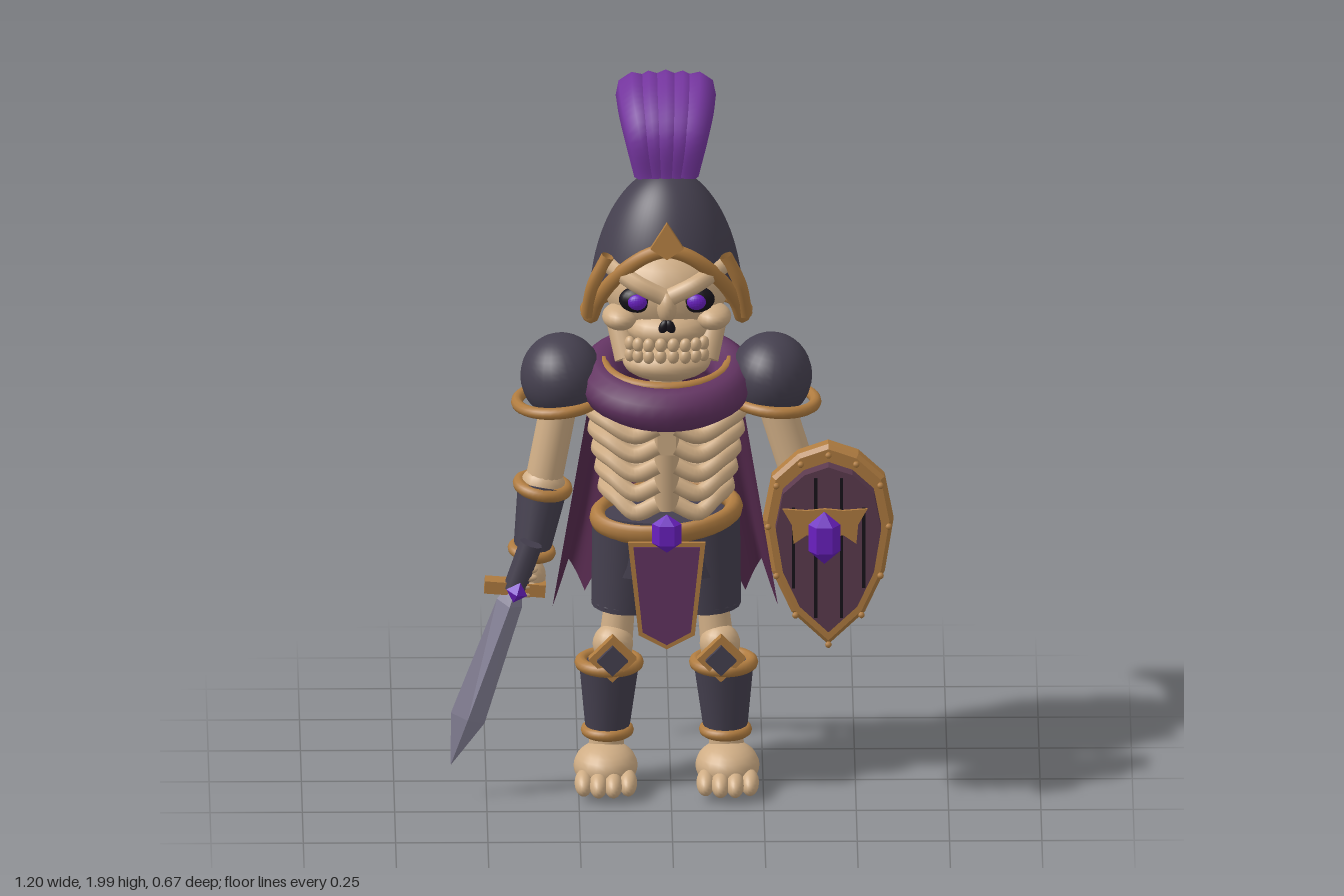
import * as THREE from 'three';

const V = (x, y, z) => new THREE.Vector3(x, y, z);
const mat = (name, hex, double) => {
  const m = new THREE.MeshStandardMaterial({ color: hex });
  m.name = name;
  if (double) m.side = THREE.DoubleSide;
  return m;
};
const lerp = THREE.MathUtils.lerp;

export function createModel() {
  const bone = mat('bone', 0xcfad85), gold = mat('bronze', 0xb07c40, true), dark = mat('dark iron', 0x45404f, true);
  const cloth = mat('scarf plum', 0x633462), capeMat = mat('cape wine', 0x582b50, true), plumeMat = mat('plume violet', 0x7636a0);
  const gem = mat('gem violet', 0x6a20c0), steel = mat('steel', 0x878398, true), black = mat('black', 0x17131a), wood = mat('painted wood', 0x5c3b4e);
  gem.flatShading = steel.flatShading = true;

  const root = new THREE.Group();
  root.name = 'skeletonKnight';
  const body = new THREE.Group();
  body.name = 'body';
  body.position.x = -0.012;
  root.add(body);

  const add = (name, geo, m, p = [0, 0, 0], r = [0, 0, 0], s = [1, 1, 1], parent = body) => {
    const o = new THREE.Mesh(geo, m);
    o.name = name;
    o.position.set(...p); o.rotation.set(...r); o.scale.set(...s);
    parent.add(o);
    return o;
  };
  const ball = (name, m, p, s, r) => add(name, new THREE.SphereGeometry(1, 20, 14), m, p, r, s);
  const box = (name, m, p, s, r, parent) => add(name, new THREE.BoxGeometry(...s), m, p, r, undefined, parent);
  const tube = (name, m, pts, r, closed = false, taper = null) => {
    const curve = new THREE.CatmullRomCurve3(pts.map(p => V(...p)), closed), n = pts.length * 6;
    const g = new THREE.TubeGeometry(curve, n, r, 8, closed), pos = g.attributes.position;
    if (taper) {
      for (let i = 0; i < pos.count; i++) {
        const t = Math.floor(i / 9) / n, c = curve.getPointAt(t);
        const v = V(0, 0, 0).fromBufferAttribute(pos, i).sub(c).multiplyScalar(taper(t)).add(c);
        pos.setXYZ(i, v.x, v.y, v.z);
      }
    }
    return add(name, g, m);
  };
  // tapered cylinder from a (radius ra) to b (radius rb)
  const limb = (name, m, a, b, ra, rb) => {
    const A = V(...a), B = V(...b), d = A.clone().sub(B);
    const o = add(name, new THREE.CylinderGeometry(ra, rb, d.length(), 16), m, A.clone().add(B).multiplyScalar(0.5).toArray());
    o.quaternion.setFromUnitVectors(V(0, 1, 0), d.normalize());
    return o;
  };
  const ring = (name, m, p, r, t, s = [1, 1, 1], tilt = 0, roll = 0) =>
    add(name, new THREE.TorusGeometry(r, t, 10, 36).rotateX(Math.PI / 2), m, p, [tilt, 0, roll], s);
  // surface swept over a u,v grid
  const grid = (nu, nv, f) => {
    const p = [], idx = [], w = nu + 1;
    for (let j = 0; j <= nv; j++) for (let i = 0; i <= nu; i++) p.push(...f(i / nu, j / nv));
    for (let j = 0; j < nv; j++) for (let i = 0; i < nu; i++) {
      const a = j * w + i;
      idx.push(a, a + w, a + 1, a + 1, a + w, a + w + 1);
    }
    const g = new THREE.BufferGeometry();
    g.setAttribute('position', new THREE.Float32BufferAttribute(p, 3));
    g.setIndex(idx);
    g.computeVertexNormals();
    return g;
  };
  const plate = (pts, depth) => new THREE.ExtrudeGeometry(
    new THREE.Shape(pts.map(p => new THREE.Vector2(...p))), { depth, bevelEnabled: false });

  // Helmet: dome with an arched face opening and a trimmed edge
  const edgeY = th => {
    const a = Math.abs(th) / 1.25;
    return a < 1 ? 1.585 - 0.225 * Math.pow(a, 1.9) : lerp(1.36, 1.335, (a - 1) / 1.51);
  };
  const dome = (th, y, grow = 0) => {
    const t = Math.min(1, (1.76 - y) / 0.42);
    const r = 0.21 * Math.pow(1 - Math.pow(1 - t, 2.2), 0.55) + grow;
    return [r * Math.sin(th), y, r * Math.cos(th)];
  };
  add('helmetDome', grid(64, 24, (u, v) => {
    const th = (u * 2 - 1) * Math.PI;
    return dome(th, 1.76 - (1.76 - edgeY(th)) * Math.pow(v, 1.7));
  }), dark);
  const rim = [];
  for (let i = 0; i < 40; i++) {
    const th = (i / 20 - 1) * Math.PI;
    rim.push(dome(th, edgeY(th), 0.004));
  }
  tube('helmetTrim', gold, rim, 0.02, true);
  add('helmetCrest', plate([[-0.045, 0], [0, 0.07], [0.045, 0], [0, -0.03]], 0.03), gold, [0, 1.595, 0.175], [-0.15, 0, 0]);
  box('plumeSocket', gold, [0, 1.76, -0.045], [0.07, 0.06, 0.06]);
  for (const s of [-1, 1])
    tube('helmetWing', gold, [[s * 0.16, 1.555, 0.13], [s * 0.198, 1.47, 0.12], [s * 0.215, 1.37, 0.085]], 0.018);

  // Plume: side-by-side arched strands, closed at the tips
  for (let i = 0; i < 5; i++) {
    const k = (i - 2) / 2, x = k * 0.08;
    tube('plumeStrand', plumeMat, [[x * 0.6, 1.755, 0.035], [x * 0.85, 1.86, 0.032], [x, 1.915, -0.025],
      [x * 1.03, 1.938, -0.11], [x, 1.88, -0.225], [x * 0.9, 1.72, -0.328]], 0.06 - 0.005 * Math.abs(k), false,
    t => Math.sqrt(1 - t ** 9) * (t < 0.5 ? 0.72 + 0.56 * t : 1 - 1.1 * (t - 0.5)));
  }

  // Skull
  ball('skull', bone, [0, 1.43, 0.025], [0.168, 0.135, 0.155]);
  ball('upperJaw', bone, [0, 1.345, 0.11], [0.11, 0.055, 0.095]);
  ball('chin', bone, [0, 1.25, 0.115], [0.12, 0.052, 0.095]);
  ball('noseBridge', bone, [0, 1.42, 0.165], [0.028, 0.045, 0.033]);
  for (const s of [-1, 1]) {
    ball('cheekbone', bone, [s * 0.125, 1.375, 0.11], [0.05, 0.035, 0.065]);
    limb('jawSide', bone, [s * 0.135, 1.36, 0.05], [s * 0.105, 1.25, 0.1], 0.032, 0.036);
    ball('eyeSocket', black, [s * 0.078, 1.435, 0.145], [0.052, 0.037, 0.032]);
    ball('eye', gem, [s * 0.08, 1.437, 0.175], [0.026, 0.022, 0.016]);
    tube('brow', bone, [[s * 0.01, 1.455, 0.183], [s * 0.075, 1.487, 0.178], [s * 0.15, 1.52, 0.115]], 0.025);
    ball('nostril', black, [s * 0.009, 1.373, 0.195], [0.013, 0.02, 0.01], [0, 0, s * 0.35]);
    for (let row = 0; row < 2; row++) for (let i = 0; i < 4; i++) {
      const a = (i + 0.5) * 0.29 * s;
      ball('tooth', bone, [0.118 * Math.sin(a), 1.315 - row * 0.032 + 0.01 * (1 - i / 3), 0.105 + 0.105 * Math.cos(a)], [0.016, 0.02, 0.014], [0, a, 0]);
    }
  }

  // Spine, ribs and collarbones
  limb('spine', bone, [0, 1.3, -0.02], [0, 0.72, -0.05], 0.045, 0.04);
  for (let i = 0; i < 10; i++) ball('vertebra', bone, [0, 0.76 + i * 0.045, -0.075], [0.045, 0.019, 0.035]);
  box('sternum', bone, [0, 1.04, 0.1], [0.05, 0.13, 0.03]);
  for (const s of [-1, 1]) {
    tube('collarbone', bone, [[0, 1.12, 0.1], [s * 0.14, 1.14, 0.07], [s * 0.29, 1.13, 0]], 0.025);
    for (let i = 0; i < 5; i++) {
      const y = 1.07 - i * 0.055, w = 0.2 - i * 0.009;
      tube('rib', bone, [[s * 0.02, y + 0.02, -0.09], [s * w * 0.7, y + 0.02, -0.09], [s * w, y, -0.01],
        [s * w * 0.8, y - 0.01, 0.075], [s * 0.085, y - 0.04, 0.11], [s * 0.025, y - 0.015, 0.11]], 0.023);
    }
  }

  // Scarf and cape
  ring('scarf', cloth, [0, 1.165, 0.015], 0.18, 0.058, [1, 1.05, 1], 0.18);
  ring('collarTrim', gold, [0, 1.212, 0.005], 0.17, 0.014, [1, 1, 1], 0.12);
  const capePoint = (u, v) => {
    const k = u * 2 - 1, zig = Math.abs(((u * 7) % 1) * 2 - 1);
    return [k * lerp(0.185, 0.305, v), 1.2 - v * (0.72 + 0.07 * k * k - 0.1 * (1 - zig) * v * v),
      lerp(-0.14, -0.27, v) - 0.03 * v * k * k + 0.034 * v * Math.cos(u * Math.PI * 10) + 0.06 * (1 - v) * k * k];
  };
  add('cape', grid(84, 16, capePoint), capeMat);
  add('capeEmblem', grid(32, 8, (u, v) => {
    const k = Math.abs(u * 2 - 1), spike = Math.abs(((u * 3) % 1) * 2 - 1);
    const [x, y, z] = capePoint(lerp(0.34, 0.66, u), lerp(0.53 - 0.08 * spike, 0.7 - 0.11 * k, v));
    return [x, y, z - 0.008];
  }), gold);

  // Pelvis, belt and front flap
  add('hips', new THREE.CylinderGeometry(0.185, 0.2, 0.16, 24), dark, [0, 0.69, -0.02], [0, 0, 0], [1, 1, 0.6]);
  ring('belt', gold, [0, 0.77, -0.012], 0.185, 0.024, [1, 1.2, 0.66], 0.2, 0.09);
  const flap = [[-0.105, 0.73], [-0.076, 0.465], [0, 0.425], [0.076, 0.465], [0.105, 0.73]];
  add('flapBorder', plate(flap, 0.012), gold, [0, 0, 0.12]);
  add('flapCloth', plate(flap.map(([x, y]) => [x * 0.86, 0.59 + (y - 0.59) * 0.92]), 0.008), cloth, [0, 0, 0.129]);
  add('beltGem', new THREE.SphereGeometry(1, 6, 3), gem, [0, 0.762, 0.145], [0, 0, 0], [0.046, 0.055, 0.034]);

  // Legs
  for (const s of [-1, 1]) {
    const x = s * 0.155;
    limb('shortsLeg', dark, [s * 0.1, 0.76, -0.025], [s * 0.115, 0.5, -0.022], 0.1, 0.088).scale.z = 1.08;
    ball('shortsHem', dark, [s * 0.115, 0.515, -0.022], [0.088, 0.025, 0.095]);
    limb('thighBone', bone, [s * 0.12, 0.58, 0], [s * 0.145, 0.33, 0.03], 0.04, 0.048);
    ball('knee', bone, [s * 0.145, 0.41, 0.04], [0.055, 0.055, 0.055]);
    limb('shinGuard', dark, [x, 0.36, 0.035], [s * 0.16, 0.16, 0.03], 0.082, 0.059);
    ring('shinTopTrim', gold, [x, 0.355, 0.035], 0.076, 0.018);
    ring('ankleTrim', gold, [s * 0.16, 0.16, 0.03], 0.056, 0.016);
    box('kneeGuardTrim', gold, [s * 0.147, 0.39, 0.105], [0.092, 0.092, 0.03], [0, 0, Math.PI / 4]);
    box('kneeGuard', dark, [s * 0.147, 0.39, 0.12], [0.06, 0.06, 0.03], [0, 0, Math.PI / 4]);
    limb('ankle', bone, [s * 0.16, 0.17, 0.03], [s * 0.165, 0.07, 0.03], 0.045, 0.05);
    ball('foot', bone, [s * 0.165, 0.068, 0.06], [0.087, 0.066, 0.1]);
    for (let i = 0; i < 4; i++)
      ball('toe', bone, [s * 0.165 + (i - 1.5) * 0.04, 0.045, 0.14 + 0.016 * (i > 0 && i < 3)], [0.025, 0.03, 0.048], [0.3, 0, 0]);
  }

  // Arms: pauldron, upper arm, bracer and fist
  const arm = (s, elbow, wrist, hand) => {
    add('pauldron', new THREE.SphereGeometry(1, 28, 14, 0, Math.PI * 2, 0, Math.PI * 0.66), dark, [s * 0.283, 1.165, 0], [0, 0, -s * 0.15], [0.112, 0.117, 0.128]);
    ring('pauldronTrim', gold, [s * 0.293, 1.1, 0], 0.112, 0.016, [1, 1, 1.1], 0, -s * 0.08);
    limb('upperArm', bone, [s * 0.28, 1.14, 0], elbow, 0.05, 0.05);
    ball('elbow', bone, elbow, [0.062, 0.058, 0.058]);
    limb('bracer', dark, elbow, wrist, 0.068, 0.05);
    ring('elbowTrim', gold, elbow, 0.064, 0.018, undefined, 0.1, s * 0.15);
    ring('wristTrim', gold, wrist, 0.05, 0.016, undefined, 0.1, s * 0.15);
    ball('palm', bone, hand, [0.045, 0.058, 0.045]);
    for (let i = 0; i < 4; i++)
      ball('finger', bone, [hand[0] + s * 0.012, hand[1] + 0.03 - i * 0.022, hand[2] + 0.035], [0.035, 0.013, 0.022]);
  };
  arm(1, [0.365, 0.87, 0.03], [0.39, 0.72, 0.04], [0.395, 0.645, 0.06]);
  arm(-1, [-0.335, 0.86, 0.03], [-0.365, 0.69, 0.07], [-0.372, 0.625, 0.095]);

  // Sword
  const sword = new THREE.Group();
  sword.name = 'sword';
  sword.position.set(-0.428, 0.59, 0.135);
  sword.rotation.z = -0.33;
  root.add(sword);
  const stations = [[0, 0.026, 0.03], [0.03, 0.036, 0.042], [0.38, 0.048, 0.022], [0.52, 0.001, 0.001]];
  add('blade', grid(4, 3, (u, v) => {
    const [l, w, t] = stations[Math.round(v * 3)], a = u * Math.PI * 2;
    return [Math.cos(a) * w, -l, Math.sin(a) * t];
  }), steel, undefined, undefined, undefined, sword);
  add('grip', new THREE.CylinderGeometry(0.032, 0.032, 0.14, 10), dark, [0, 0.08, 0], undefined, undefined, sword);
  box('guard', gold, [0, 0.015, -0.01], [0.165, 0.035, 0.05], [0, 0, 0.25], sword);
  add('guardGem', new THREE.OctahedronGeometry(0.03), gem, [0.005, 0.015, 0.035], undefined, undefined, sword);

  // Shield: backing, raised face, studs and a floating emblem
  const shield = new THREE.Group();
  shield.name = 'shield';
  shield.position.set(0.425, 0.75, 0);
  root.add(shield);
  const outline = [[0, 0.278], [0.08, 0.25], [0.15, 0.185], [0.174, 0.06], [0.15, -0.09], [0.095, -0.21], [0, -0.3],
    [-0.095, -0.21], [-0.15, -0.09], [-0.174, 0.06], [-0.15, 0.185], [-0.08, 0.25]];
  const scaled = k => outline.map(([x, y]) => [x * k, y * k]);
  add('shieldBacking', new THREE.ExtrudeGeometry(new THREE.Shape(scaled(0.95).map(p => new THREE.Vector2(...p))),
    { depth: 0.036, bevelSize: 0.011, bevelThickness: 0.012, bevelSegments: 1 }), gold, [0, 0, 0.13], undefined, undefined, shield);
  add('shieldFace', plate(scaled(0.82), 0.045), wood, [0, 0, 0.178], undefined, undefined, shield);
  for (const [x, y] of scaled(0.94))
    add('shieldStud', new THREE.SphereGeometry(0.009, 8, 6), gold, [x, y, 0.22], undefined, undefined, shield);
  [[-0.095, 0.23], [-0.035, 0.4], [0.035, 0.4], [0.095, 0.23]].forEach(([x, h]) =>
    box('shieldSlit', black, [x, 0.01, 0.26], [0.009, h, 0.006], undefined, shield));
  for (const s of [-1, 1])
    add('shieldWing', plate([[0, 0.07], [s * 0.05, 0.065], [s * 0.115, 0.07], [s * 0.09, 0.025], [s * 0.085, -0.03], [s * 0.05, -0.005], [0, -0.015]], 0.009),
      gold, [-0.01, 0.055, 0.262], undefined, undefined, shield);
  add('shieldGem', new THREE.SphereGeometry(1, 6, 3), gem, [-0.012, 0.055, 0.305], undefined, [0.05, 0.075, 0.042], shield);

  return root;
}
